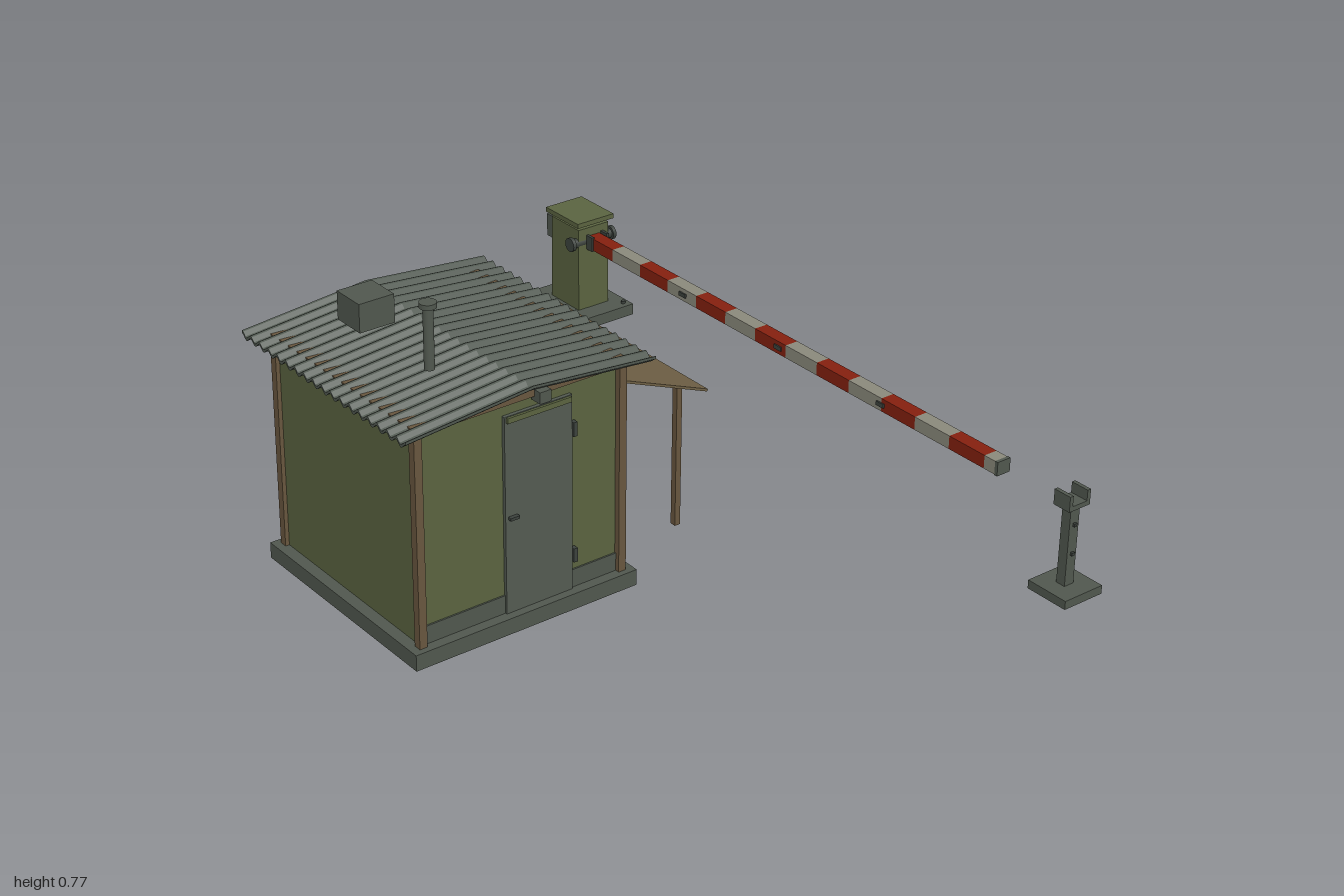
import * as THREE from 'three';

const mat = (name, color) => {
  const m = new THREE.MeshStandardMaterial({ color });
  m.name = name;
  return m;
};

export function createModel() {
  const olive = mat('olive paint', 0x5a6340);
  const concrete = mat('concrete', 0x50574e);
  const roofing = mat('corrugated sheet', 0x4f574f);
  const steel = mat('door steel', 0x535a51);
  const wood = mat('timber', 0x68563e);
  const canvas = mat('awning board', 0x6f6045);
  const dark = mat('dark interior', 0x1b1c1a);
  const metal = mat('dark metal', 0x3c423d);
  const red = mat('red paint', 0x84200f);
  const white = mat('off white paint', 0x8a897b);

  const model = new THREE.Group();
  const group = (name) => {
    const g = new THREE.Group();
    g.name = name;
    model.add(g);
    return g;
  };
  // Box from its limits on each axis
  const box = (parent, name, m, [x0, x1], [y0, y1], [z0, z1]) => {
    const mesh = new THREE.Mesh(new THREE.BoxGeometry(x1 - x0, y1 - y0, z1 - z0), m);
    mesh.position.set((x0 + x1) / 2, (y0 + y1) / 2, (z0 + z1) / 2);
    mesh.name = name;
    parent.add(mesh);
    return mesh;
  };
  const cyl = (parent, name, m, r, h, x, y, z, alongZ = false) => {
    const mesh = new THREE.Mesh(new THREE.CylinderGeometry(r, r, h, 16), m);
    mesh.position.set(x, y, z);
    if (alongZ) mesh.rotation.x = Math.PI / 2;
    mesh.name = name;
    parent.add(mesh);
    return mesh;
  };
  // Sloping board between two (z, y) points
  const slope = (parent, name, m, [x0, x1], [z0, y0], [z1, y1], t) => {
    const mesh = new THREE.Mesh(new THREE.BoxGeometry(x1 - x0, t, Math.hypot(z1 - z0, y1 - y0)), m);
    mesh.position.set((x0 + x1) / 2, (y0 + y1) / 2, (z0 + z1) / 2);
    mesh.rotation.x = -Math.atan2(y1 - y0, z1 - z0);
    mesh.name = name;
    parent.add(mesh);
  };

  // Guard booth
  const booth = group('booth');
  box(booth, 'foundation', concrete, [-0.26, 0.34], [0, 0.04], [0.11, 0.71]);
  box(booth, 'walls', olive, [-0.23, 0.31], [0.04, 0.565], [0.14, 0.68]);
  box(booth, 'rightSkirt', concrete, [0.31, 0.314], [0.04, 0.085], [0.15, 0.67]);
  box(booth, 'leftSkirt', concrete, [-0.234, -0.23], [0.04, 0.085], [0.15, 0.67]);
  for (const x of [-0.235, 0.315])
    for (const z of [0.14, 0.68])
      box(booth, 'cornerPost', wood, [x - 0.01, x + 0.01], [0.04, 0.565], [z - 0.01, z + 0.01]);
  box(booth, 'topPlate', wood, [-0.245, 0.325], [0.56, 0.577], [0.13, 0.69]);

  // Corrugated gable roof: wavy section extruded front to back, then bent at the ridge
  const X0 = -0.288, X1 = 0.363, Z0 = 0.08, Z1 = 0.735, WAVES = 18, N = WAVES * 8;
  const wave = (i) => 0.006 * Math.cos((i / N) * WAVES * 2 * Math.PI);
  const section = new THREE.Shape();
  for (let i = 0; i <= N; i++) {
    const x = X0 + ((X1 - X0) * i) / N;
    if (i) section.lineTo(x, wave(i) + 0.604);
    else section.moveTo(x, wave(i) + 0.604);
  }
  for (let i = N; i >= 0; i--) section.lineTo(X0 + ((X1 - X0) * i) / N, wave(i) + 0.597);
  const roofGeo = new THREE.ExtrudeGeometry(section, { depth: Z1 - Z0, steps: 2, bevelEnabled: false });
  roofGeo.translate(0, 0, Z0);
  const p = roofGeo.attributes.position;
  for (let i = 0; i < p.count; i++) p.setY(i, p.getY(i) - 0.09 * Math.abs(p.getZ(i) - (Z0 + Z1) / 2));
  roofGeo.computeVertexNormals();
  const roof = new THREE.Mesh(roofGeo, roofing);
  roof.name = 'roof';
  booth.add(roof);
  box(booth, 'roofVent', concrete, [-0.147, -0.058], [0.615, 0.685], [0.48, 0.572]);
  cyl(booth, 'chimney', concrete, 0.012, 0.15, 0.165, 0.685, 0.54);
  cyl(booth, 'chimneyCap', concrete, 0.02, 0.012, 0.165, 0.763, 0.54);

  // Door side
  box(booth, 'door', steel, [0.31, 0.319], [0.04, 0.53], [0.275, 0.455]);
  box(booth, 'doorLintel', olive, [0.31, 0.325], [0.515, 0.528], [0.28, 0.45]);
  for (const y of [0.11, 0.427])
    box(booth, 'doorHinge', metal, [0.312, 0.325], [y, y + 0.035], [0.265, 0.275]);
  box(booth, 'doorHandle', metal, [0.319, 0.329], [0.277, 0.284], [0.424, 0.448]);
  box(booth, 'doorLamp', concrete, [0.315, 0.346], [0.549, 0.577], [0.35, 0.38]);

  // Red box on the left wall
  box(booth, 'fireBox', red, [-0.26, -0.23], [0.2, 0.32], [0.275, 0.315]);

  // Serving window, counter and frame on the back wall
  box(booth, 'windowOpening', dark, [-0.14, 0.22], [0.27, 0.45], [0.134, 0.14]);
  for (const x of [-0.147, 0.22])
    box(booth, 'windowJamb', wood, [x, x + 0.007], [0.265, 0.457], [0.131, 0.14]);
  box(booth, 'windowHead', wood, [-0.147, 0.227], [0.45, 0.457], [0.131, 0.14]);
  box(booth, 'counter', wood, [-0.19, 0.27], [0.256, 0.266], [0.11, 0.14]);

  // Awning on two posts
  const awning = group('awning');
  slope(awning, 'awningBoard', canvas, [-0.24, 0.317], [-0.105, 0.42], [0.14, 0.518], 0.006);
  for (const x of [-0.16, 0.24]) {
    slope(awning, 'rafter', wood, [x - 0.008, x + 0.008], [-0.085, 0.41], [0.135, 0.502], 0.012);
    box(awning, 'awningPost', wood, [x - 0.008, x + 0.008], [0.047, 0.41], [-0.088, -0.073]);
  }

  // Barrier cabinet
  const cabinet = group('barrierCabinet');
  const Z = -0.646;
  box(cabinet, 'cabinetBase', concrete, [-1, -0.77], [0, 0.031], [-0.738, -0.554]);
  for (const x of [-0.98, -0.79])
    for (const z of [-0.72, -0.572]) cyl(cabinet, 'anchorBolt', metal, 0.006, 0.008, x, 0.034, z);
  box(cabinet, 'cabinetBody', olive, [-0.945, -0.825], [0.03, 0.265], [-0.695, -0.597]);
  box(cabinet, 'cabinetLid', olive, [-0.957, -0.815], [0.276, 0.289], [-0.705, -0.587]);
  box(cabinet, 'cabinetDoor', olive, [-0.93, -0.84], [0.05, 0.195], [-0.699, -0.695]);
  for (const y of [0.055, 0.16])
    box(cabinet, 'cabinetHinge', metal, [-0.935, -0.925], [y, y + 0.022], [-0.704, -0.695]);
  box(cabinet, 'cabinetHandle', metal, [-0.856, -0.848], [0.11, 0.14], [-0.704, -0.699]);
  box(cabinet, 'counterweight', concrete, [-0.992, -0.945], [0.187, 0.25], [-0.676, -0.616]);
  cyl(cabinet, 'pivotShaft', metal, 0.013, 0.13, -0.836, 0.225, Z, true);
  for (const z of [-0.712, -0.58]) cyl(cabinet, 'pivotDisc', metal, 0.019, 0.01, -0.836, 0.225, z, true);
  for (const z of [-0.674, -0.626])
    box(cabinet, 'armBracket', metal, [-0.83, -0.8], [0.205, 0.245], [z - 0.004, z + 0.004]);

  // Striped barrier arm
  const arm = group('barrierArm');
  const STRIPE = 0.1165, END = 0.717;
  for (let i = 0, x = -0.833; x < END; i++, x += STRIPE)
    box(arm, i % 2 ? 'whiteStripe' : 'redStripe', i % 2 ? white : red,
      [x, Math.min(x + STRIPE, END)], [0.207, 0.241], [Z - 0.019, Z + 0.019]);
  box(arm, 'armEndCap', concrete, [END, 0.726], [0.206, 0.242], [Z - 0.02, Z + 0.02]);
  for (const x of [-0.42, -0.045, 0.33])
    for (const s of [-1, 1])
      box(arm, 'reflector', s > 0 ? metal : red, [x - 0.013, x + 0.013], [0.219, 0.23],
        [Z + s * 0.021 - 0.002, Z + s * 0.021 + 0.002]);

  // Arm rest post
  const rest = group('armRest');
  box(rest, 'restBase', concrete, [0.883, 1], [0, 0.022], [Z - 0.058, Z + 0.058]);
  box(rest, 'restPost', concrete, [0.927, 0.953], [0.022, 0.225], [Z - 0.014, Z + 0.014]);
  box(rest, 'cradlePlate', concrete, [0.916, 0.965], [0.225, 0.237], [Z - 0.032, Z + 0.032]);
  for (const s of [-1, 1])
    box(rest, 'cradleProng', concrete, [0.916, 0.965], [0.237, 0.264],
      [Z + s * 0.027 - 0.005, Z + s * 0.027 + 0.005]);
  for (const y of [0.1, 0.175])
    box(rest, 'postBolt', metal, [0.953, 0.959], [y, y + 0.008], [Z - 0.004, Z + 0.004]);

  return model;
}
